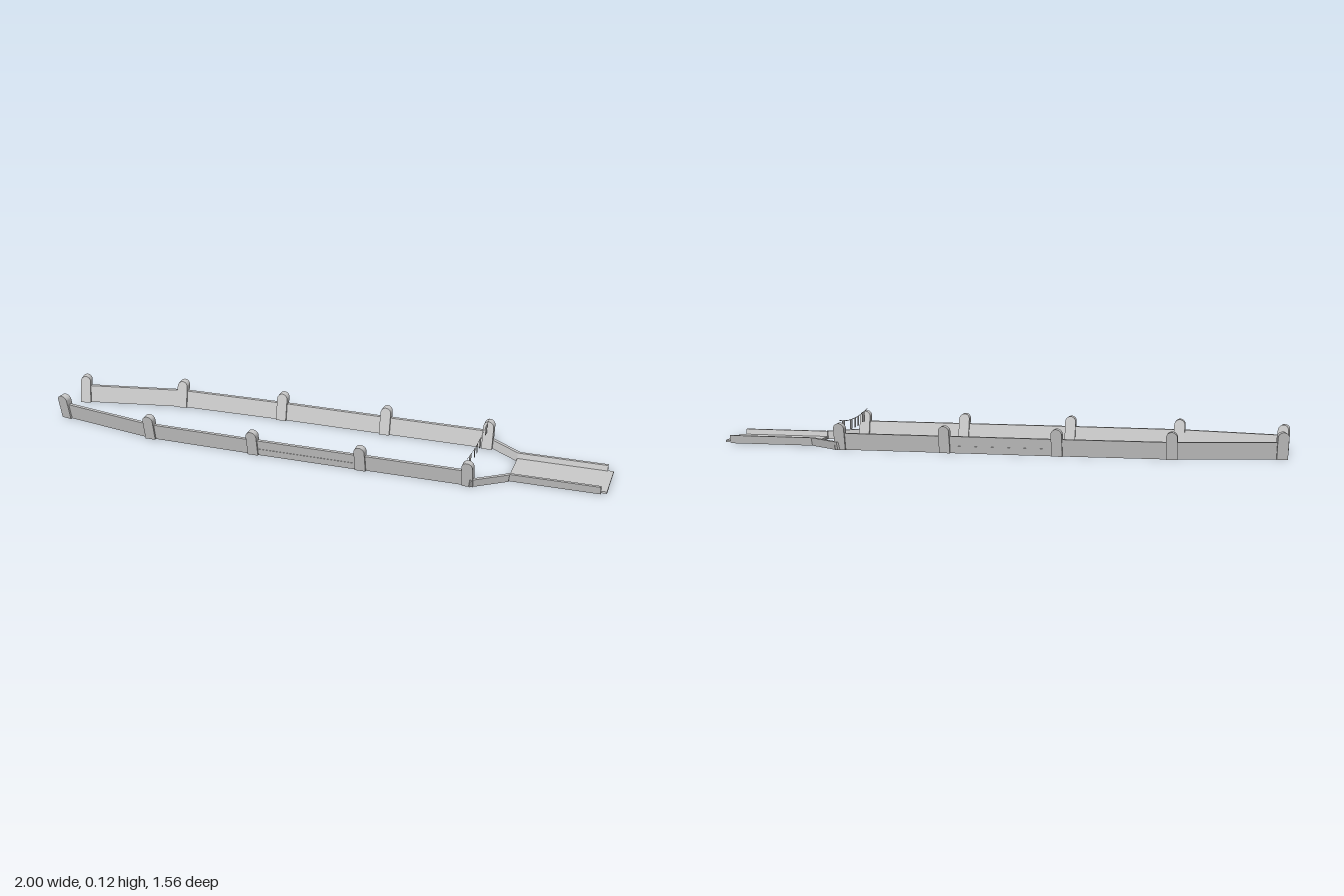
import * as THREE from 'three';

const grey = new THREE.MeshStandardMaterial({ color: 0xcccccc, flatShading: true, side: THREE.DoubleSide });
const FLARE = 0.23; // outward lean of walls and posts per unit of height
const WALL_TOP = 0.07;

function add(parent, name, geometry) {
  const mesh = new THREE.Mesh(geometry, grey);
  mesh.name = name;
  parent.add(mesh);
  return mesh;
}

// Heading that turns local +x along the ground line from a to b
const heading = (a, b) => -Math.atan2(b[1] - a[1], b[0] - a[0]);

// Lean a geometry outward along local z, leaving it unmoved at height pivot
function flare(geo, out, pivot) {
  const p = geo.attributes.position;
  for (let i = 0; i < p.count; i++) p.setZ(i, p.getZ(i) + out * FLARE * (p.getY(i) - pivot));
  geo.computeVertexNormals();
  return geo;
}

// Straight leaning wall between two ground points
function wall(parent, name, a, b, height, thick, out, pivot) {
  const geo = new THREE.BoxGeometry(Math.hypot(b[0] - a[0], b[1] - a[1]), height, thick);
  geo.translate(0, height / 2, 0);
  const mesh = add(parent, name, flare(geo, out, pivot));
  mesh.position.set((a[0] + b[0]) / 2, 0, (a[1] + b[1]) / 2);
  mesh.rotation.y = heading(a, b);
  return mesh;
}

// Post with a rounded head, leaning with the wall
function post(parent, at, angle, out) {
  const r = 0.022, top = 0.112, depth = 0.032;
  const shape = new THREE.Shape();
  shape.moveTo(-r, 0);
  shape.lineTo(r, 0);
  shape.lineTo(r, top - r);
  shape.absarc(0, top - r, r, 0, Math.PI, false);
  shape.closePath();
  const geo = new THREE.ExtrudeGeometry(shape, { depth, bevelEnabled: false, curveSegments: 8 });
  geo.translate(0, 0, -depth / 2);
  const mesh = add(parent, 'post', flare(geo, out, WALL_TOP));
  mesh.position.set(at[0], 0, at[1]);
  mesh.rotation.y = angle;
}

export function createModel() {
  const model = new THREE.Group();
  model.name = 'walledWalkway';

  // Ground points [x, z] of the two parapets, and where each meets the ramp
  const sides = [
    { name: 'rightParapet', pts: [[-0.971, 0.584], [-0.677, 0.267], [-0.316, -0.01], [0.053, -0.281], [0.405, -0.541]],
      from: [0.405, -0.553], to: [0.576, -0.557], out: -1 },
    { name: 'leftParapet', pts: [[-0.851, 0.747], [-0.462, 0.559], [-0.09, 0.293], [0.278, 0.023], [0.63, -0.237]],
      from: [0.64, -0.238], to: [0.694, -0.395], out: 1 },
  ];
  for (const s of sides) {
    const side = new THREE.Group();
    side.name = s.name;
    model.add(side);
    s.pts.forEach((pt, i) => {
      const next = s.pts[i + 1];
      const angle = next ? heading(pt, next) : heading(s.pts[i - 1], pt);
      post(side, pt, angle, s.out);
      if (next) wall(side, 'wallPanel', pt, next, WALL_TOP, 0.015, s.out, WALL_TOP);
    });
    wall(side, 'wingWall', s.from, s.to, 0.034, 0.014, s.out, 0.034);
    // Low ledge on the outside of the middle panel
    const ledge = wall(side, 'ledge', s.pts[2], s.pts[3], 0.03, 0.003, s.out, WALL_TOP);
    ledge.translateZ(s.out * 0.008);
  }

  // Ramp: thin deck with a leaning curb along each long side
  const ramp = new THREE.Group();
  ramp.name = 'ramp';
  ramp.position.set(0.63, 0, -0.475);
  ramp.rotation.y = heading([0, 0], [0.803, -0.596]);
  model.add(ramp);
  add(ramp, 'deck', new THREE.BoxGeometry(0.388, 0.008, 0.185)).position.set(0.194, 0.008, 0);
  for (const s of [-1, 1]) {
    const geo = new THREE.BoxGeometry(0.365, 0.034, 0.012);
    geo.translate(0.182, 0.017, s * 0.098);
    add(ramp, 'curb', flare(geo, s, 0.034));
  }

  // Sagging ribbon with small flags between the last two posts
  const a = [0.4, -0.545], b = [0.634, -0.225];
  const span = Math.hypot(b[0] - a[0], b[1] - a[1]);
  const bunting = new THREE.Group();
  bunting.name = 'bunting';
  bunting.position.set(a[0], 0, a[1]);
  bunting.rotation.y = heading(a, b);
  model.add(bunting);
  const sag = t => 0.124 - 0.072 * t * (1 - t);
  const line = [];
  for (let i = 0; i <= 12; i++) line.push(new THREE.Vector2(i / 12 * span, sag(i / 12)));
  const under = line.map(p => new THREE.Vector2(p.x, p.y - 0.003)).reverse();
  add(bunting, 'ribbon', new THREE.ShapeGeometry(new THREE.Shape([...line, ...under])));
  // Each flag: place along the ribbon, half width
  for (const [t, w] of [[0.13, 0.02], [0.4, 0.018], [0.54, 0.012], [0.65, 0.012], [0.84, 0.02]]) {
    const flag = new THREE.Shape([[-w, 0], [w, 0], [w * 0.8, -0.042], [-w * 0.8, -0.042]]
      .map(([dx, dy]) => new THREE.Vector2(t * span + dx, sag(t) + dy)));
    add(bunting, 'flag', new THREE.ShapeGeometry(flag));
  }
  return model;
}
